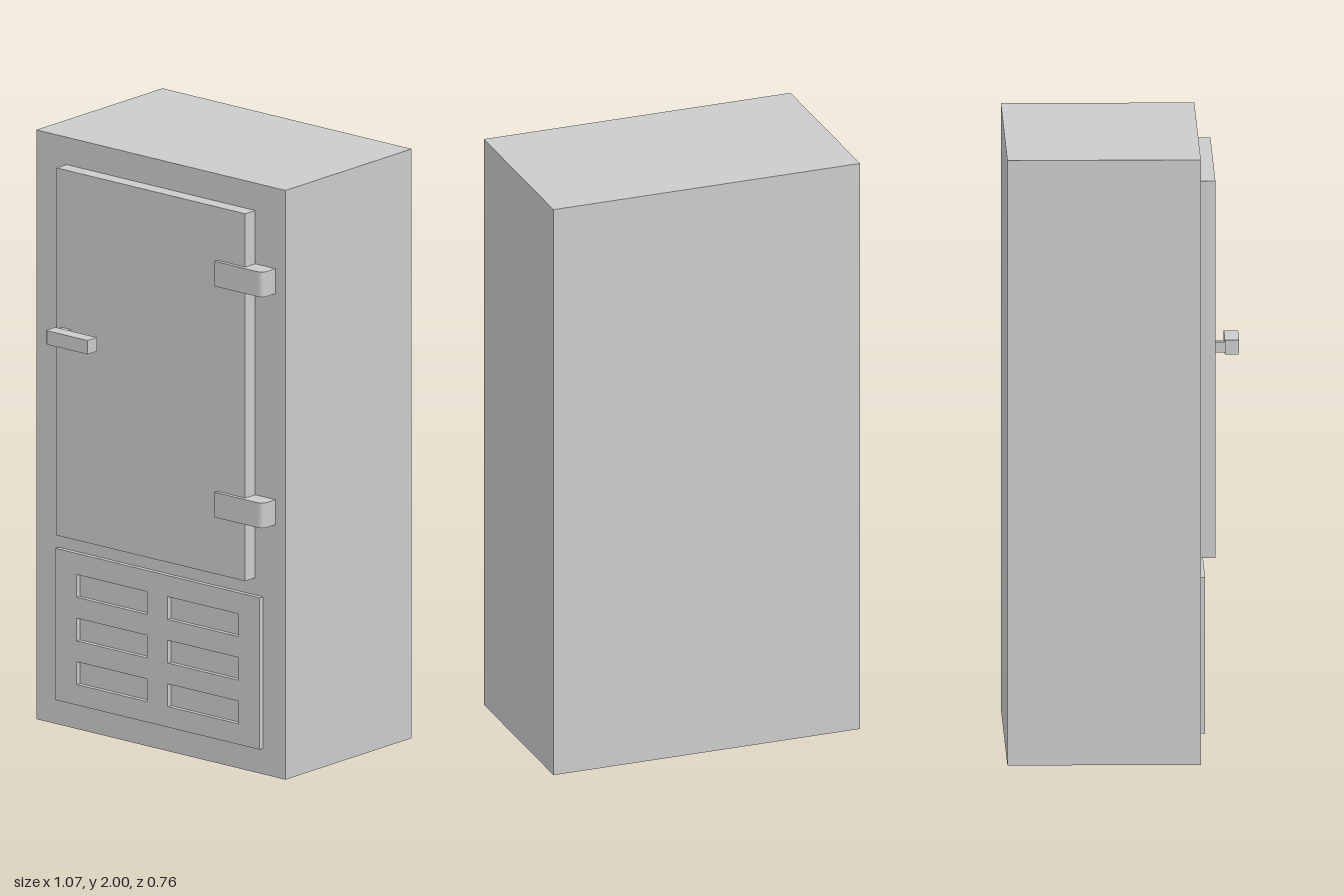
import * as THREE from 'three';

const material = new THREE.MeshStandardMaterial({ color: 0xcccccc, flatShading: true });

function add(parent, name, geometry) {
  const mesh = new THREE.Mesh(geometry, material);
  mesh.name = name;
  parent.add(mesh);
  return mesh;
}

// Box given by its limits on each axis
function box(x0, x1, y0, y1, z0, z1) {
  return new THREE.BoxGeometry(x1 - x0, y1 - y0, z1 - z0)
    .translate((x0 + x1) / 2, (y0 + y1) / 2, (z0 + z1) / 2);
}

// Plan outline drawn in (x, z), extruded upwards from y0 to y1
function planExtrude(shape, y0, y1) {
  return new THREE.ExtrudeGeometry(shape, { depth: y1 - y0, bevelEnabled: false, curveSegments: 5 })
    .rotateX(Math.PI / 2).translate(0, y1, 0);
}

function rectangle(path, x0, x1, y0, y1) {
  path.moveTo(x0, y0);
  path.lineTo(x1, y0);
  path.lineTo(x1, y1);
  path.lineTo(x0, y1);
  path.closePath();
  return path;
}

export function createModel() {
  const group = new THREE.Group();
  group.name = 'cabinet';
  const front = 0.25;
  const doorFront = 0.3;

  add(group, 'cabinetBody', box(-0.535, 0.535, 0, 2, -0.38, front));
  add(group, 'door', box(-0.405, 0.405, 0.66, 1.907, front, doorFront));

  // Lower grille with two columns of three slots
  const grille = rectangle(new THREE.Shape(), -0.438, 0.438, 0.087, 0.602);
  for (const y of [0.157, 0.305, 0.453]) {
    for (const x of [-0.348, 0.043]) {
      grille.holes.push(rectangle(new THREE.Path(), x, x + 0.303, y, y + 0.077));
    }
  }
  add(group, 'ventGrille', new THREE.ExtrudeGeometry(grille, { depth: 0.016, bevelEnabled: false })
    .translate(0, 0, front));

  // Hinges wrap from the door face round to the cabinet front
  const hinge = new THREE.Shape();
  hinge.moveTo(0.285, doorFront);
  hinge.lineTo(0.405, doorFront);
  hinge.lineTo(0.405, front);
  hinge.lineTo(0.491, front);
  hinge.lineTo(0.491, 0.293);
  hinge.quadraticCurveTo(0.491, 0.314, 0.47, 0.314);
  hinge.lineTo(0.285, 0.314);
  hinge.closePath();
  [0.857, 1.641].forEach((y, i) => {
    add(group, i ? 'upperHinge' : 'lowerHinge', planExtrude(hinge, y, y + 0.085));
  });

  // Latch handle: a stem off the door carrying a sideways bar
  const handle = new THREE.Group();
  handle.name = 'handle';
  group.add(handle);
  add(handle, 'handleStem', box(-0.38, -0.344, 1.335, 1.37, doorFront, 0.332));
  const bar = new THREE.Shape();
  bar.moveTo(-0.385, 0.331);
  bar.lineTo(-0.205, 0.331);
  bar.lineTo(-0.205, 0.378);
  bar.lineTo(-0.375, 0.378);
  bar.quadraticCurveTo(-0.385, 0.378, -0.385, 0.368);
  bar.closePath();
  add(handle, 'handleBar', planExtrude(bar, 1.33, 1.377));

  return group;
}
